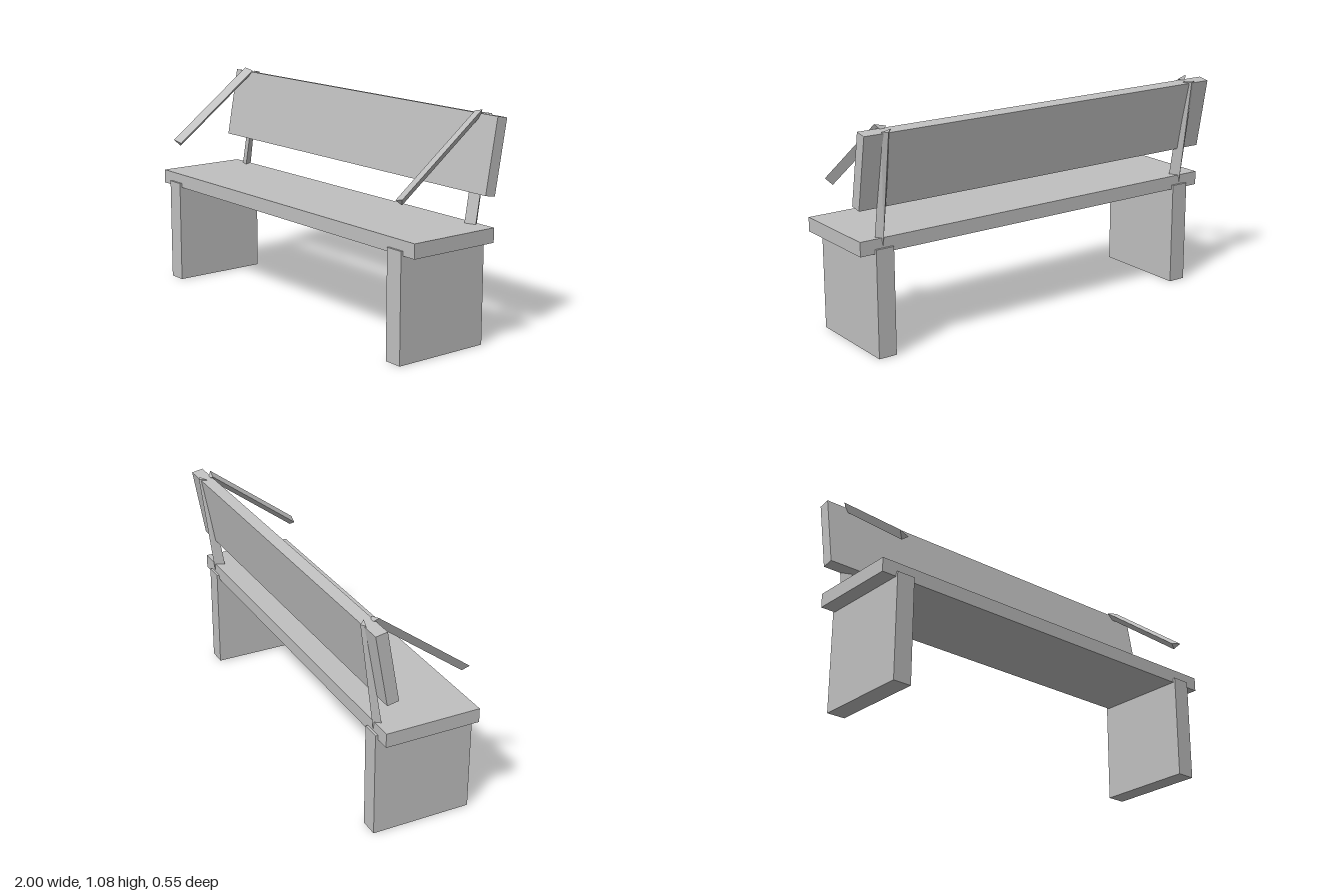
import * as THREE from 'three';
import { ConvexGeometry } from 'three/addons/geometries/ConvexGeometry.js';

export function createModel() {
  const model = new THREE.Group();
  model.name = 'bench';
  const grey = new THREE.MeshStandardMaterial({ color: 0xc0c0c0 });
  grey.name = 'concrete grey';

  const add = (name, geometry) => {
    const mesh = new THREE.Mesh(geometry, grey);
    mesh.name = name;
    model.add(mesh);
    return mesh;
  };

  // Box given by its limits on each axis
  const slab = (name, x0, x1, y0, y1, z0, z1) => {
    const mesh = add(name, new THREE.BoxGeometry(x1 - x0, y1 - y0, z1 - z0));
    mesh.position.set((x0 + x1) / 2, (y0 + y1) / 2, (z0 + z1) / 2);
  };

  // Three-sided bar through its six corners, mirrored by side
  const bar = (name, side, corners) =>
    add(name, new ConvexGeometry(corners.map(([x, y, z]) => new THREE.Vector3(side * x, y, z))));

  slab('seat', -1, 1, 0.496, 0.565, -0.203, 0.266);

  // Backrest leaning backwards
  const back = add('backrest', new THREE.BoxGeometry(2, 0.353, 0.058));
  back.position.set(0, 0.8845, -0.205);
  back.rotation.x = -0.178;

  for (const side of [1, -1]) {
    const label = side > 0 ? 'left' : 'right';
    slab(label + 'Leg', side * 0.88 - 0.046, side * 0.88 + 0.046, 0, 0.518, -0.215, 0.277);

    // Post behind the backrest: inner edge, outer edge, rear ridge
    bar(label + 'Post', side, [
      [0.855, 0.53, -0.154], [0.91, 0.53, -0.172], [0.883, 0.53, -0.205],
      [0.855, 1.062, -0.243], [0.91, 1.06, -0.261], [0.883, 1.057, -0.274],
    ]);

    // Sloping armrest: each end has an outer edge, inner edge and lower ridge
    const arm = [];
    for (const [y, z] of [[1.083, -0.2], [0.738, 0.26]]) {
      arm.push([0.91, y, z], [0.855, y - 0.012, z - 0.009], [0.883, y - 0.031, z - 0.023]);
    }
    bar(label + 'Armrest', side, arm);
  }
  return model;
}
